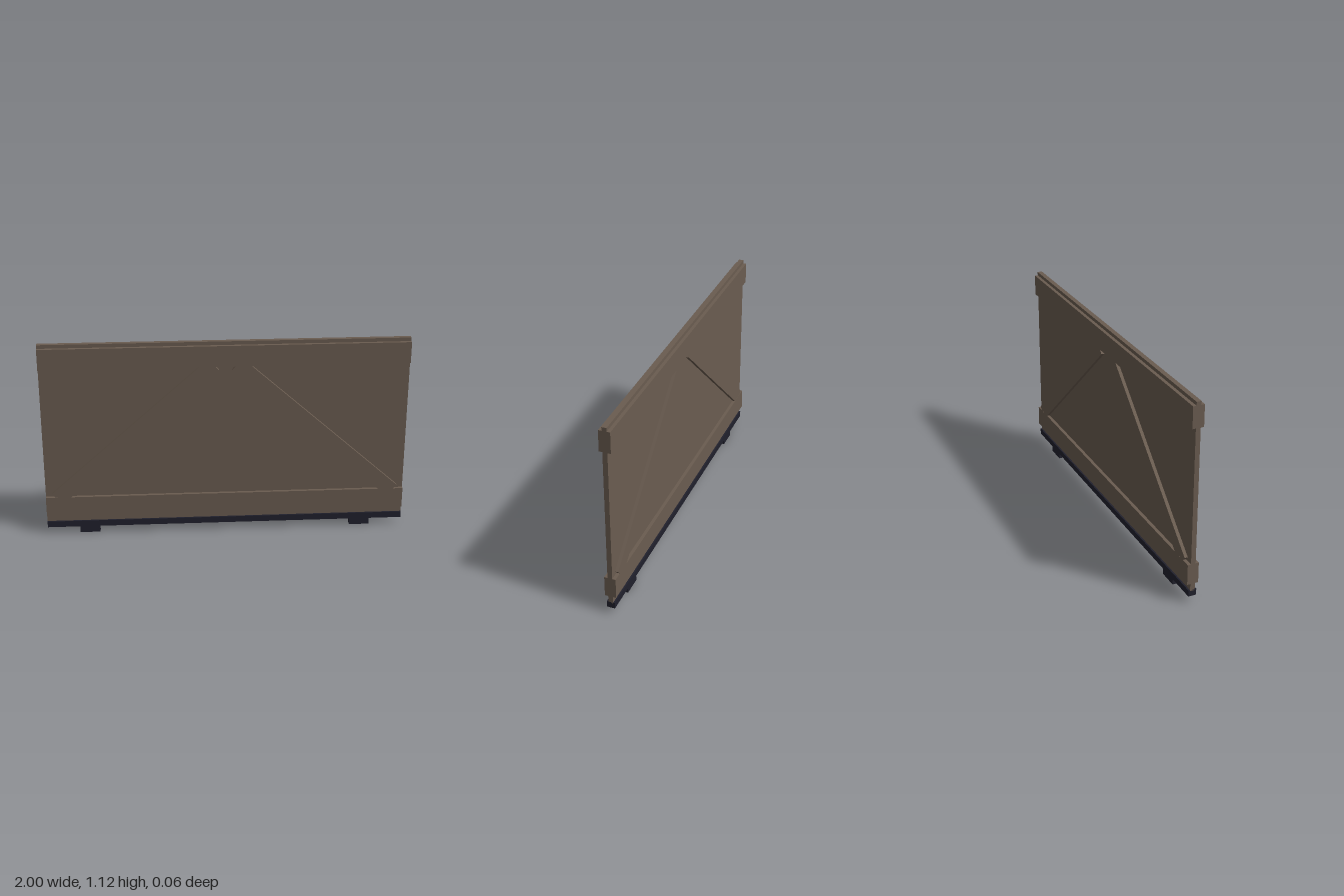
import * as THREE from 'three';

export function createModel() {
  const model = new THREE.Group();
  model.name = 'bracedPanel';

  const wood = new THREE.MeshStandardMaterial({ color: 0x6a5c50 });
  wood.name = 'brown wood';
  const dark = new THREE.MeshStandardMaterial({ color: 0x20202c });
  dark.name = 'dark metal';

  // Box centred on z = 0, spanning y0 to y1
  function addBox(name, material, width, y0, y1, depth, x = 0) {
    const mesh = new THREE.Mesh(new THREE.BoxGeometry(width, y1 - y0, depth), material);
    mesh.name = name;
    mesh.position.set(x, (y0 + y1) / 2, 0);
    model.add(mesh);
    return mesh;
  }

  // Thin panel with a thicker rail along its top and bottom
  addBox('panel', wood, 2, 0.07, 1.118, 0.026);
  addBox('topRail', wood, 2, 0.98, 1.098, 0.062);
  addBox('bottomRail', wood, 2, 0.112, 0.228, 0.062);

  // Base strip
  addBox('baseStrip', dark, 2, 0.04, 0.075, 0.044);

  for (const side of [-1, 1]) {
    const label = side < 0 ? 'right' : 'left';

    // Diagonal brace, square-ended and running into both rails
    const brace = addBox(label + 'Brace', wood, 1.167, 0.562, 0.648, 0.0615, side * 0.5);
    brace.rotation.z = -side * 0.726;

    // Foot under the base strip
    addBox(label + 'Foot', dark, 0.112, 0, 0.042, 0.032, side * 0.763);
  }

  return model;
}
